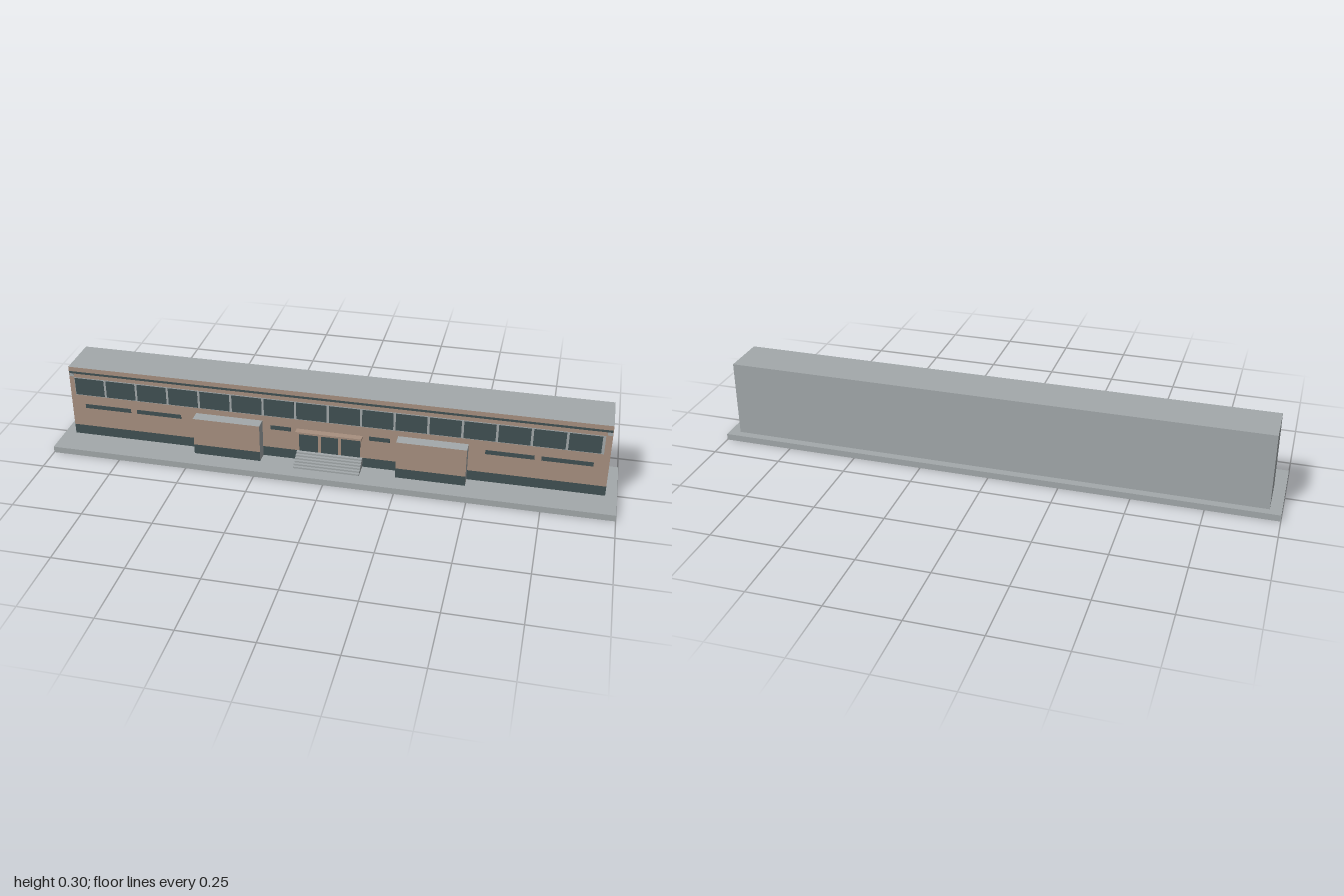
import * as THREE from 'three';

export function createModel() {
  const group = new THREE.Group();
  const mat = (name, color) => {
    const m = new THREE.MeshStandardMaterial({ color });
    m.name = name;
    return m;
  };
  const concrete = mat('concrete grey', 0xa3a9ab);
  const brick = mat('brick brown', 0xa89080);
  const dark = mat('dark slate', 0x405053);

  // Box given by its limits on each axis
  const box = (name, material, x0, x1, y0, y1, z0, z1) => {
    const mesh = new THREE.Mesh(new THREE.BoxGeometry(x1 - x0, y1 - y0, z1 - z0), material);
    mesh.position.set((x0 + x1) / 2, (y0 + y1) / 2, (z0 + z1) / 2);
    mesh.name = name;
    group.add(mesh);
    return mesh;
  };
  // Face order: left, right, top, bottom, front, back
  const faces = (left, front) => [left, concrete, concrete, concrete, front, concrete];

  const ground = 0.023, plinthTop = 0.06, wall = 0.04;
  const plate = (name, material, x0, x1, y0, y1, lift = 0.001) =>
    box(name, material, x0, x1, y0, y1, wall - 0.001, wall + lift);

  // Paved base and main block
  box('base', concrete, -1, 1, 0, ground, -0.153, 0.153);
  box('plinth', faces(dark, dark), -0.96, 0.96, ground, plinthTop, -0.124, wall);
  box('mainBlock', faces(brick, brick), -0.96, 0.96, plinthTop, 0.297, -0.124, wall);

  // Upper window ribbon
  plate('windowFrame', concrete, -0.942, 0.938, 0.186, 0.257, 0.0006);
  const pitch = 0.1173;
  for (let i = 0; i < 16; i++) {
    const x = -0.94 + i * pitch;
    plate('upperWindow', dark, x, x + 0.109, 0.188, 0.254, 0.0014);
  }

  // Narrow strip under the parapet, with end blocks
  plate('friezeStrip', dark, -0.958, 0.958, 0.272, 0.28);

  for (const s of [-1, 1]) {
    const span = (a, b) => (s > 0 ? [a, b] : [-b, -a]);
    plate('friezeEnd', concrete, ...span(0.942, 0.958), 0.26, 0.272);

    // Slit windows
    for (const [a, b] of [[0.14, 0.214], [0.545, 0.712], [0.735, 0.909]])
      plate('slitWindow', dark, ...span(a, b), 0.134, 0.15);

    // Projecting bays with faced fronts
    const bay = span(0.243, 0.487);
    box('bayPlinth', faces(concrete, dark), ...bay, ground, plinthTop, wall, 0.083);
    box('bay', faces(concrete, brick), ...bay, plinthTop, 0.165, wall, 0.083);
  }

  // Entrance doors and canopy
  for (const [a, b] of [[-0.11, -0.042], [-0.031, 0.031], [0.042, 0.11]])
    plate('door', dark, a, b, plinthTop, 0.141);
  box('canopy', brick, -0.118, 0.118, 0.142, 0.149, wall, 0.065);

  // Entrance steps
  const steps = 6, rise = (plinthTop - ground) / steps;
  for (let i = 0; i < steps; i++)
    box('step', concrete, -0.118, 0.118, ground + i * rise, ground + (i + 1) * rise, wall, 0.103 - i * 0.01);

  return group;
}
